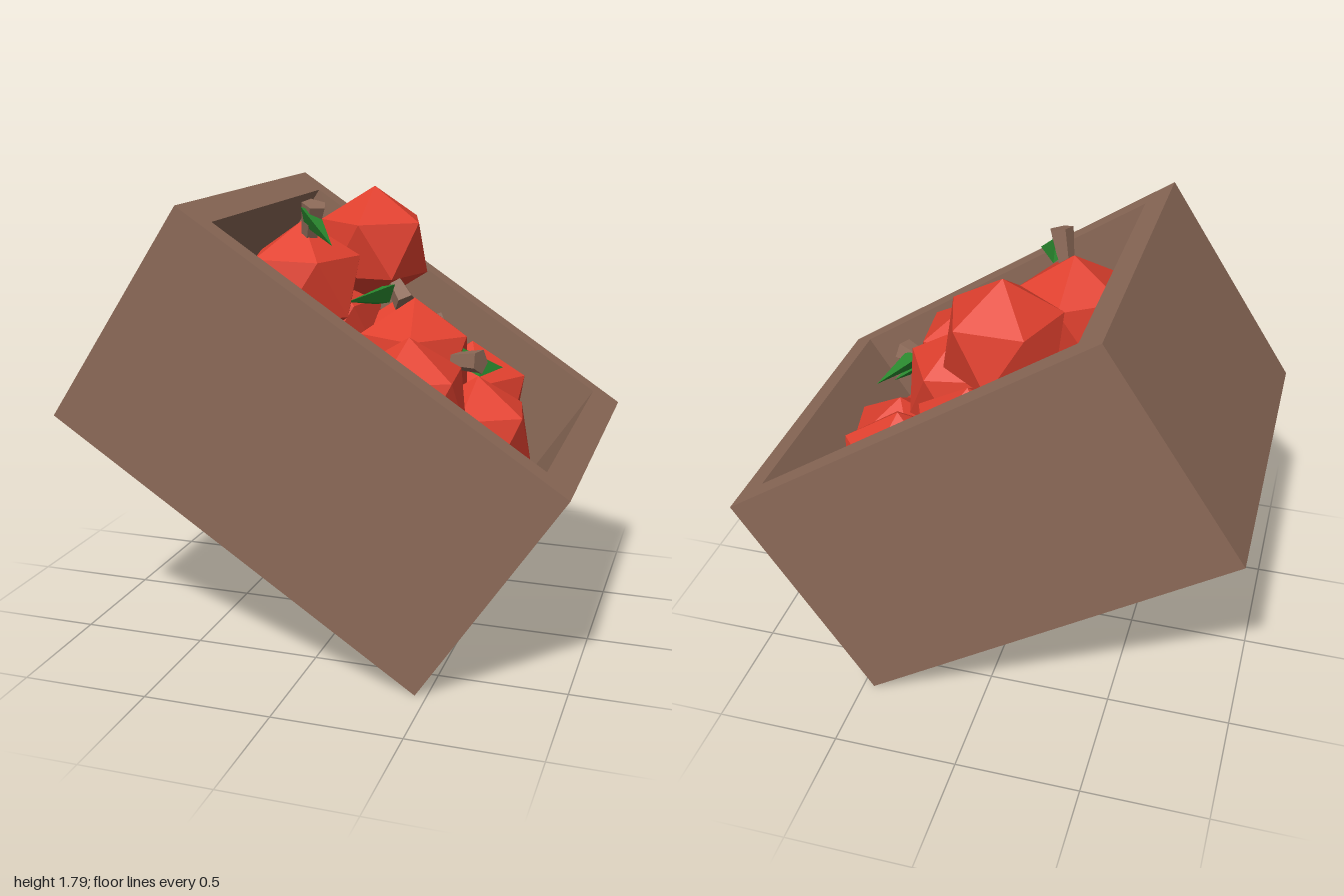
import * as THREE from 'three';

const mat = (color) => new THREE.MeshStandardMaterial({ color, flatShading: true });
const wood = mat(0x8b6957), red = mat(0xe0402e), green = mat(0x2a8a2f);

const LENGTH = 1.744, HEIGHT = 0.989, DEPTH = 1.37;
const END = 0.12, SIDE = 0.095, FLOOR = 0.03;
const UP = new THREE.Vector3(0, 1, 0);

function add(parent, name, geometry, material) {
  const mesh = new THREE.Mesh(geometry, material);
  mesh.name = name;
  parent.add(mesh);
  return mesh;
}

function rectangle(PathType, w, h) {
  return new PathType([[-1, -1], [1, -1], [1, 1], [-1, 1]]
    .map(([x, y]) => new THREE.Vector2(x * w / 2, y * h / 2)));
}

// Open crate: a four-sided wall frame closed by a thin floor
function createCrate() {
  const crate = new THREE.Group();
  crate.name = 'crate';
  const frame = rectangle(THREE.Shape, LENGTH, DEPTH);
  frame.holes.push(rectangle(THREE.Path, LENGTH - 2 * END, DEPTH - 2 * SIDE));
  const walls = new THREE.ExtrudeGeometry(frame, { depth: HEIGHT - FLOOR, bevelEnabled: false });
  walls.rotateX(-Math.PI / 2);
  add(crate, 'crateWalls', walls, wood).position.y = FLOOR - HEIGHT / 2;
  const floor = new THREE.BoxGeometry(LENGTH, FLOOR, DEPTH);
  add(crate, 'crateFloor', floor, wood).position.y = (FLOOR - HEIGHT) / 2;
  crate.position.y = 0.893;
  crate.rotation.z = -0.583;
  return crate;
}

// Faceted apple body with a vertex pointing up
const appleGeometry = new THREE.IcosahedronGeometry(0.25, 0);
appleGeometry.rotateZ(Math.atan(2 / (1 + Math.sqrt(5))));
const stemGeometry = new THREE.CylinderGeometry(0.05, 0.035, 0.13, 5);
// Flattened four-sided leaf, tip along +y
const leafGeometry = new THREE.ConeGeometry(0.085, 0.19, 4).scale(1, 1, 0.45);

// Apple centre, turn about y, and optional stem and leaf positions
const apples = [
  { at: [-0.01, 1.525, -0.31], turn: 0.3, stem: [0.14, 1.36, -0.17], leaf: [0.04, 1.35, -0.04] },
  { at: [-0.17, 1.43, 0.13], turn: 0.9, stem: [-0.11, 1.69, 0.19], leaf: [-0.05, 1.65, 0.25] },
  { at: [0.25, 1.12, -0.01], turn: 0.5, stem: [0.49, 1.15, 0.09], leaf: [0.55, 1.12, 0.0] },
  { at: [0.33, 1.04, 0.36], turn: 0.1, stem: [0.56, 0.92, 0.46], leaf: [0.62, 0.9, 0.37] },
  { at: [0.42, 0.89, -0.32], turn: 0.7, stem: [0.25, 1.15, -0.42], leaf: [0.3, 1.1, -0.5] },
  { at: [-0.19, 1.19, -0.25], turn: 1.1, stem: [-0.28, 1.38, -0.4], leaf: [-0.23, 1.36, -0.31] },
  { at: [0.5, 0.8, -0.08], turn: 0.2 },
  { at: [0.12, 1.07, -0.35], turn: 0.4 },
  { at: [-0.01, 1.05, 0.32], turn: 0.8 },
  { at: [0.4, 0.74, 0.22], turn: 1.0 },
  { at: [-0.2, 1.08, 0.17], turn: 0.6 },
  { at: [-0.19, 0.75, 0.05], turn: 0 },
  { at: [0.1, 0.75, -0.1], turn: 0.35 },
];

function createApple({ at, turn, stem, leaf }) {
  const apple = new THREE.Group();
  apple.name = 'apple';
  const centre = new THREE.Vector3(...at);
  const body = add(apple, 'appleBody', appleGeometry, red);
  body.position.copy(centre);
  body.rotation.y = turn;
  if (stem) {
    const tip = new THREE.Vector3(...stem);
    const stalk = add(apple, 'stem', stemGeometry, wood);
    stalk.position.copy(tip);
    stalk.quaternion.setFromUnitVectors(UP, tip.clone().sub(centre).normalize());
    const blade = add(apple, 'leaf', leafGeometry, green);
    blade.position.set(...leaf);
    blade.quaternion.setFromUnitVectors(UP, blade.position.clone().sub(tip).normalize());
  }
  return apple;
}

export function createModel() {
  const model = new THREE.Group();
  model.name = 'crateOfApples';
  model.add(createCrate());
  for (const apple of apples) model.add(createApple(apple));
  return model;
}
